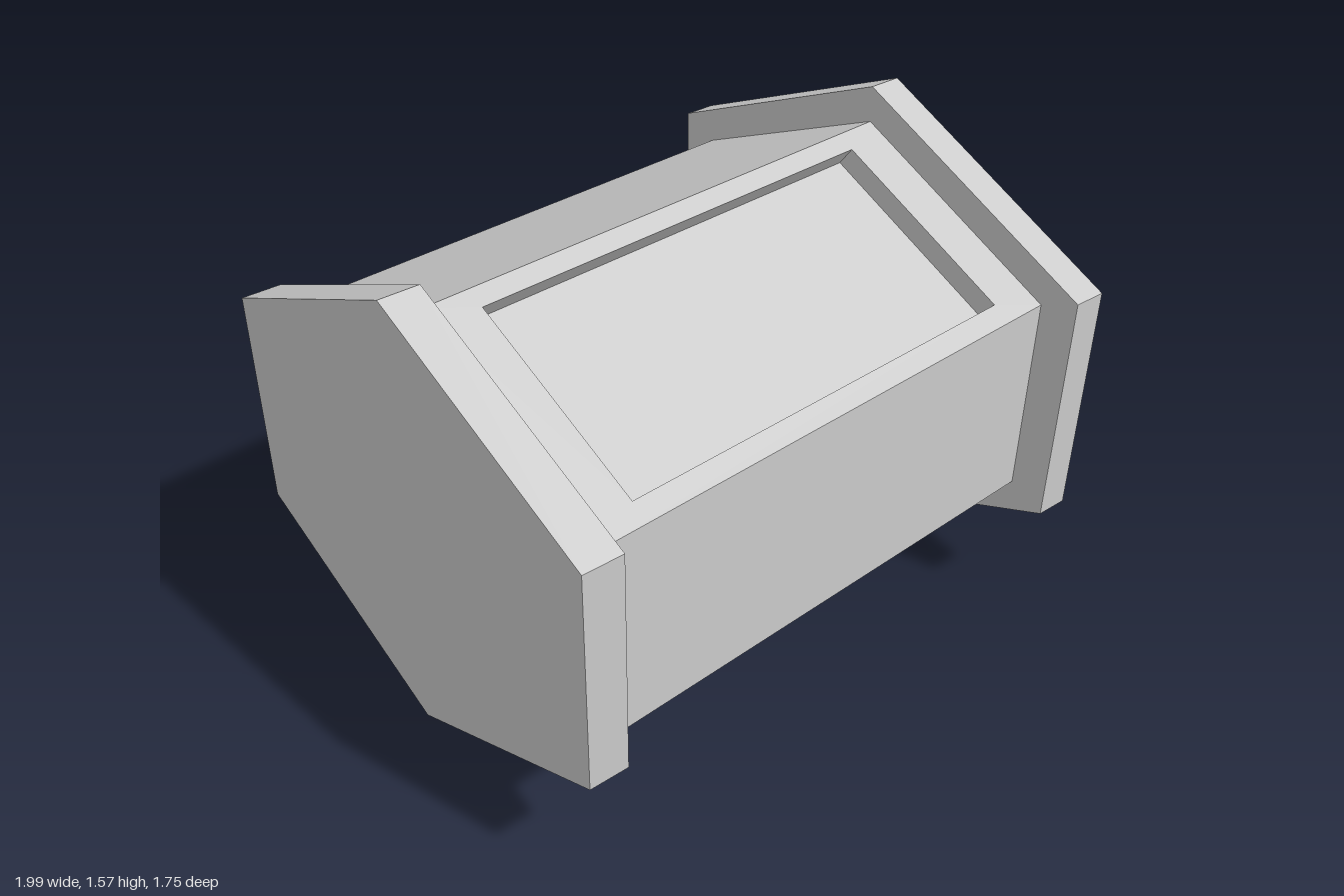
import * as THREE from 'three';

const SKEW = 0.056; // slight turn of the whole drum about the vertical
const CENTER_Y = 0.79;
const WIDEN = 1.25; // hexagon stretch in depth

// Place a point given by its station along the axis, depth offset and height;
// "station" for the depth drift can be fixed so that a plate stays square.
const place = (s, u, y, drift = s) => [s + SKEW * u, y, u - SKEW * drift + 0.02];

// Flat-shaded mesh from outward counter-clockwise quads
function quadMesh(name, quads) {
  const positions = quads.flatMap(([a, b, c, d]) => [a, b, c, a, c, d].flat());
  const geometry = new THREE.BufferGeometry();
  geometry.setAttribute('position', new THREE.Float32BufferAttribute(positions, 3));
  geometry.computeVertexNormals();
  const mesh = new THREE.Mesh(geometry,
    new THREE.MeshStandardMaterial({ color: 0xcccccc, flatShading: true }));
  mesh.name = name;
  return mesh;
}

// One hexagon section, starting at the top ridge and going round by the front
function hexagon(s, radius, drift) {
  return Array.from({ length: 6 }, (_, k) => {
    const a = k * Math.PI / 3;
    return place(s, WIDEN * radius * Math.sin(a), CENTER_Y + radius * Math.cos(a), drift);
  });
}

// Side faces between two sections
function sides(A, B, first = 0) {
  const quads = [];
  for (let k = first; k < 6; k++) {
    const n = (k + 1) % 6;
    quads.push([A[n], B[n], B[k], A[k]]);
  }
  return quads;
}

function endPlate(name, s0, s1, radius) {
  const mid = (s0 + s1) / 2;
  const A = hexagon(s0, radius, mid), B = hexagon(s1, radius, mid);
  return quadMesh(name, [
    ...sides(A, B),
    [B[0], B[1], B[2], B[3]], [B[0], B[3], B[4], B[5]],
    [A[3], A[2], A[1], A[0]], [A[5], A[4], A[3], A[0]],
  ]);
}

export function createModel() {
  const group = new THREE.Group();
  group.name = 'hexagonalDrum';

  // End plates
  group.add(endPlate('rightEndPlate', -0.957, -0.832, 0.74));
  group.add(endPlate('leftEndPlate', 0.838, 0.945, 0.783));

  // Drum body, its upper front face left open for the recessed panel
  const R = 0.667, s0 = -0.835, s1 = 0.84;
  group.add(quadMesh('drumBody', sides(hexagon(s0, R), hexagon(s1, R), 1)));

  // Point on the upper front face: t runs from ridge (0) to lower edge (1)
  const onFace = (s, t, sunk = 0) => place(s,
    WIDEN * R * Math.sin(Math.PI / 3) * t - 0.045 * sunk,
    CENTER_Y + R * (1 - 0.5 * t) - 0.062 * sunk);
  const rectangle = (a, b, top, bottom, sunk) => [
    onFace(a, bottom, sunk), onFace(b, bottom, sunk),
    onFace(b, top, sunk), onFace(a, top, sunk)];

  const outer = rectangle(s0, s1, 0, 1, 0);
  const opening = rectangle(-0.688, 0.695, 0.083, 0.913, 0);
  const floor = rectangle(-0.688, 0.695, 0.083, 0.913, 1);
  const frame = [], walls = [];
  for (let i = 0; i < 4; i++) {
    const j = (i + 1) % 4;
    frame.push([outer[i], outer[j], opening[j], opening[i]]);
    walls.push([opening[i], opening[j], floor[j], floor[i]]);
  }
  group.add(quadMesh('panelFrame', frame));
  group.add(quadMesh('recessWalls', walls));
  group.add(quadMesh('recessedPanel', [floor]));

  return group;
}
